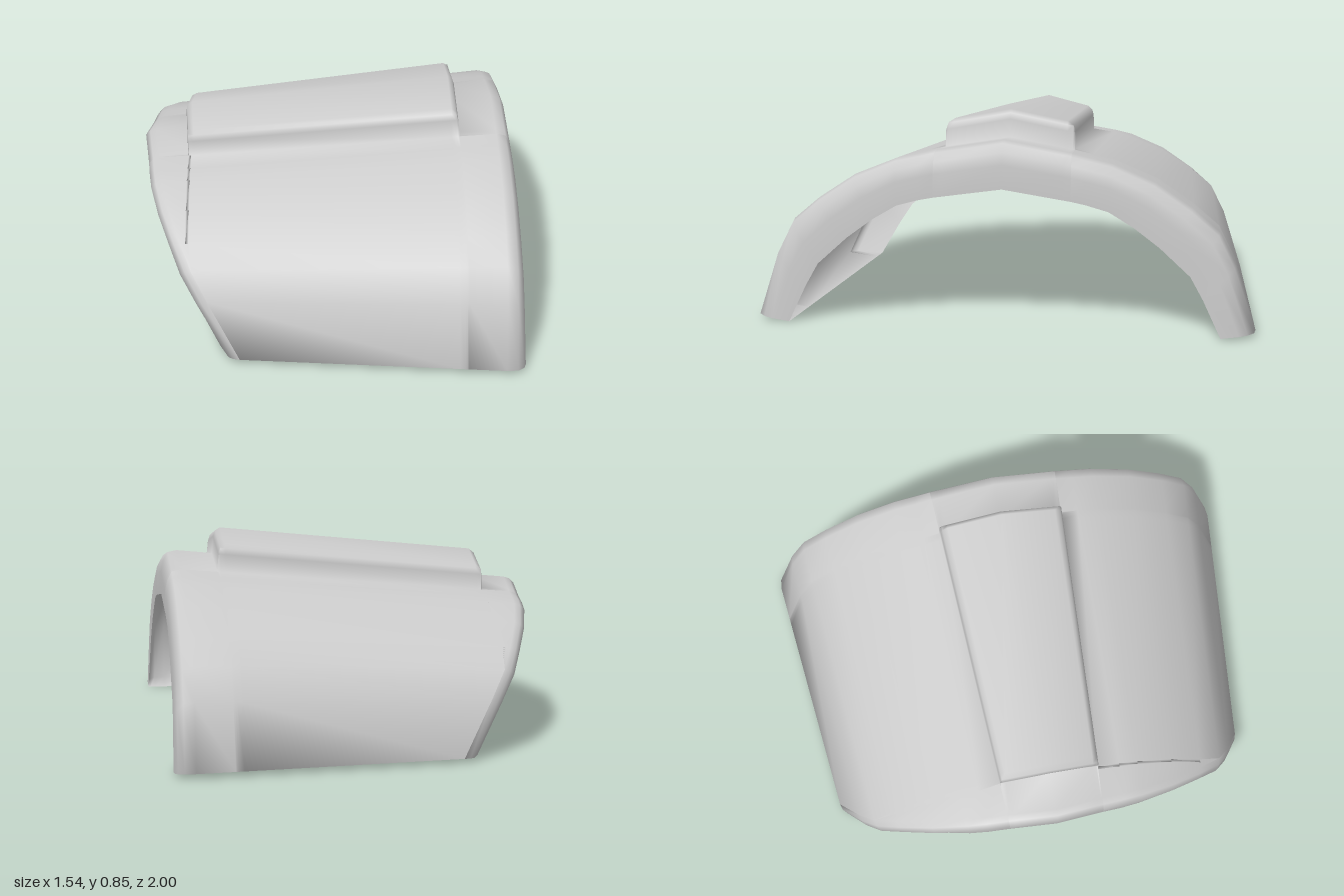
import * as THREE from 'three';

const lerp = THREE.MathUtils.lerp;

// Skin a grid of points: columns[c][r] = [x, y, z]
function skin(columns) {
  const rows = columns[0].length, index = [];
  for (let c = 0; c < columns.length - 1; c++) {
    for (let r = 0; r < rows - 1; r++) {
      const a = c * rows + r, d = a + rows;
      index.push(a, a + 1, d, a + 1, d + 1, d);
    }
  }
  const geometry = new THREE.BufferGeometry();
  geometry.setAttribute('position', new THREE.Float32BufferAttribute(columns.flat(2), 3));
  geometry.setIndex(index);
  geometry.computeVertexNormals();
  return geometry;
}

// Half of the arch at the wide end: z, y of the outer edge, then z, y of the inner edge of the lip
const ARCH = [
  [1.0, 0.02, 0.86, 0], [0.92, 0.28, 0.79, 0.15], [0.855, 0.41, 0.74, 0.24],
  [0.75, 0.5, 0.62, 0.35], [0.6, 0.6, 0.52, 0.425], [0.43, 0.67, 0.42, 0.485],
  [0.34, 0.69, 0.33, 0.51],
].map(([zo, yo, zi, yi]) => ({ zo, yo, zi, yi, taper: 0.102 }));

// Columns through the raised plate: z and drop below its top (no drop: foot of its side)
const PLATE = [[0.272, null], [0.27, 0.035], [0.262, 0.012], [0.238, 0], [0, 0]].map(([z, drop]) => ({
  zo: z, yo: 0.753 - 0.17 * z, zi: z, yi: 0.562 - 0.15 * z, taper: 0.19, drop,
}));

// Rows along x: position and drop at the rounded ends of the plate
const ROWS = [
  [-0.572, null], [-0.585, 0.04], [-0.582, 0.015], [-0.56, 0],
  [0.505, 0], [0.525, 0.015], [0.533, 0.04], [0.54, null],
];

// One strip running from the slanted lip over the outside to the lip at the wide end
function strip({ zo, yo, zi, yi, taper, drop = null }, side, bottomLip = false) {
  // The arch narrows and lowers towards the slanted end; t goes from the outer to the inner edge
  const at = (x, depth) => {
    const t = bottomLip ? 1 : depth;
    return [
      x,
      lerp(yo, yi, t) * (1 - lerp(0.133, 0.11, t) * (0.7 - x)),
      side * lerp(zo, zi, t) * (1 - taper * (0.7 - x)),
    ];
  };
  const start = -0.36 - 0.49 * yo, lean = 0.02 * yo;

  const outside = ROWS.map(([x, endDrop]) => {
    const point = at(Math.max(x, start), 0);
    if (drop !== null && endDrop !== null) {
      // Ridged top of the plate, its narrow end slightly bowed
      point[1] = 0.845 + 0.103 * (x - 0.5) - 0.18 * zo - Math.max(drop, endDrop);
      if (x < 0) point[0] -= 0.012 * (1 - zo / 0.272);
    }
    return point;
  });

  return [
    at(-0.45 - 0.535 * yi, 1), at(-0.405 - 0.488 * yo, 0.17), at(start - 0.025, 0.04), at(start, 0),
    ...outside,
    at(0.69, 0), at(0.735 - lean / 2, 0.06), at(0.76 - lean, 0.25), at(0.77 - lean, 0.5), at(0.77 - lean, 1),
  ];
}

export function createModel() {
  const group = new THREE.Group();
  group.name = 'archedGuard';

  // Thin arched shell with raised plate and inward lips, mirrored about its ridge
  const half = [...ARCH, ...PLATE];
  const columns = [
    strip(half[0], 1, true),
    ...half.map((p) => strip(p, 1)),
    ...half.slice(0, -1).reverse().map((p) => strip(p, -1)),
    strip(half[0], -1, true),
  ];
  const material = new THREE.MeshStandardMaterial({ color: 0xcccccc, side: THREE.DoubleSide });
  const shell = new THREE.Mesh(skin(columns), material);
  shell.name = 'archedShellWithPlate';
  group.add(shell);
  return group;
}
